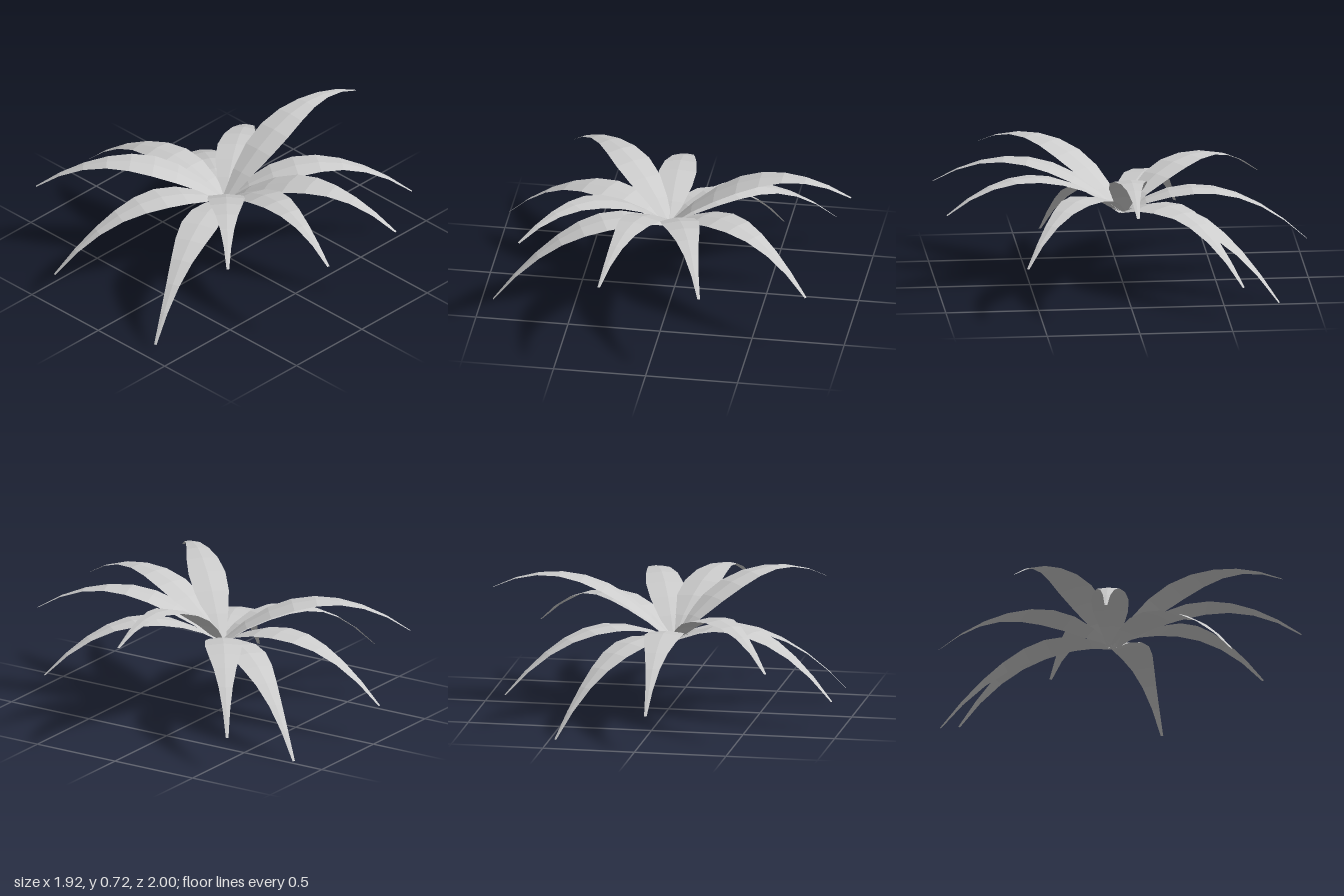
import * as THREE from 'three';

const leafMaterial = new THREE.MeshStandardMaterial({ color: 0xcccccc, side: THREE.DoubleSide, flatShading: true });
leafMaterial.name = 'pale grey leaf';

const BASE = new THREE.Vector3(-0.03, 0.385, 0);

// Half widths at even steps from base to tip
const HALF_WIDTHS = [0.024, 0.064, 0.094, 0.101, 0.086, 0.061, 0.038, 0.02, 0.007];

// Each leaf: tip x, tip y, tip z, height of the top of its arch
const LEAVES = [
  [-0.06, 0.2, -1.0, 0.508],
  [0.47, 0.0, -0.8, 0.438],
  [0.785, 0.18, -0.58, 0.5],
  [0.96, 0.63, 0.005, 0.725],
  [0.805, 0.32, 0.585, 0.568],
  [0.285, 0.48, 0.975, 0.638],
  [-0.255, 0.52, 1.0, 0.662],
  [-0.735, 0.595, 0.715, 0.703],
  [-0.93, 0.04, 0.36, 0.453],
  [-0.96, 0.17, -0.37, 0.502],
  [-0.675, 0.41, -0.79, 0.602],
];

// An arching blade with a gently raised midrib
function leafGeometry(tipX, tipY, tipZ, peakY) {
  const tip = new THREE.Vector3(tipX, tipY, tipZ);
  const peak = peakY - BASE.y;
  const end = tipY - BASE.y;
  // Control height that makes the curve crest exactly at the peak
  const control = BASE.clone().lerp(tip, 0.5);
  control.y = BASE.y + peak + Math.sqrt(peak * peak - peak * end);
  const spine = new THREE.QuadraticBezierCurve3(BASE, control, tip);
  const side = new THREE.Vector3(tip.z - BASE.z, 0, BASE.x - tip.x).normalize();

  const positions = [];
  const index = [];
  HALF_WIDTHS.forEach((w, i) => {
    const t = i / (HALF_WIDTHS.length - 1);
    const p = spine.getPoint(t);
    const up = spine.getTangent(t).cross(side).normalize();
    for (const s of [-1, 0, 1]) {
      const v = p.clone().addScaledVector(side, s * w);
      if (s !== 0) v.addScaledVector(up, -0.1 * w);
      positions.push(v.x, v.y, v.z);
    }
    if (i === 0) return;
    // Two quads join this row to the previous one, upper face outward
    for (let k = 0; k < 2; k++) {
      const a = (i - 1) * 3 + k;
      index.push(a, a + 4, a + 1, a, a + 3, a + 4);
    }
  });

  const geometry = new THREE.BufferGeometry();
  geometry.setAttribute('position', new THREE.Float32BufferAttribute(positions, 3));
  geometry.setIndex(index);
  geometry.computeVertexNormals();
  return geometry;
}

export function createModel() {
  const plant = new THREE.Group();
  plant.name = 'leafRosette';
  LEAVES.forEach((leaf, i) => {
    const mesh = new THREE.Mesh(leafGeometry(...leaf), leafMaterial);
    mesh.name = `leaf${i + 1}`;
    plant.add(mesh);
  });
  return plant;
}
